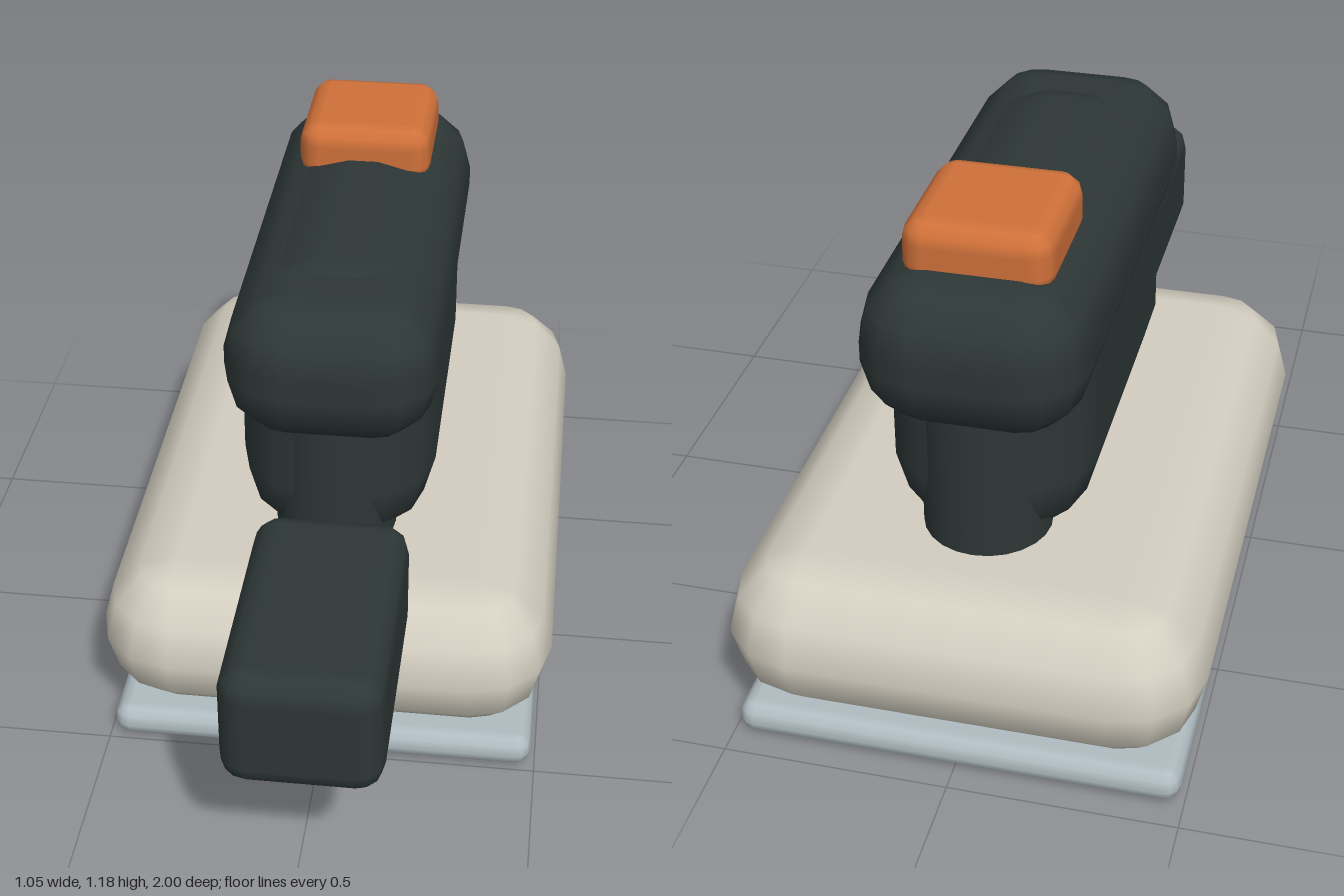
import * as THREE from 'three';

const SEG = 3; // bevel steps per quarter turn

// Box with rounded edges and corners: stacked rings, each with four corner arcs
function bevelBox([x0, x1], [y0, y1], [z0, z1], r) {
  const hx = (x1 - x0) / 2 - r, hy = (y1 - y0) / 2 - r, hz = (z1 - z0) / 2 - r;
  const n = 4 * (SEG + 1), rings = 2 * (SEG + 1);
  const pos = [], nor = [], idx = [];
  for (let i = 0; i < rings; i++) {
    const upper = i > SEG;
    const phi = (upper ? i - SEG - 1 : i - SEG) / SEG * Math.PI / 2;
    for (let c = 0; c < 4; c++) {
      const sx = c === 0 || c === 3 ? 1 : -1, sz = c < 2 ? 1 : -1;
      for (let j = 0; j <= SEG; j++) {
        const t = (c + j / SEG) * Math.PI / 2;
        const nx = Math.cos(phi) * Math.cos(t), ny = Math.sin(phi), nz = Math.cos(phi) * Math.sin(t);
        pos.push(sx * hx + r * nx, (upper ? hy : -hy) + r * ny, sz * hz + r * nz);
        nor.push(nx, ny, nz);
      }
    }
  }
  for (let i = 0; i < rings - 1; i++) {
    for (let k = 0; k < n; k++) {
      const a = i * n + k, b = i * n + (k + 1) % n;
      idx.push(a, a + n, b, b, a + n, b + n);
    }
  }
  // Flat bottom and top
  const q = SEG + 1, top = (rings - 1) * n;
  idx.push(0, q, 2 * q, 0, 2 * q, 3 * q);
  idx.push(top, top + 3 * q, top + 2 * q, top, top + 2 * q, top + q);

  const geo = new THREE.BufferGeometry();
  geo.setAttribute('position', new THREE.Float32BufferAttribute(pos, 3));
  geo.setAttribute('normal', new THREE.Float32BufferAttribute(nor, 3));
  geo.setIndex(idx);
  geo.translate((x0 + x1) / 2, (y0 + y1) / 2, (z0 + z1) / 2);
  return geo;
}

export function createModel() {
  const group = new THREE.Group();
  const material = (name, color) => {
    const m = new THREE.MeshStandardMaterial({ color });
    m.name = name;
    return m;
  };
  const cream = material('cream plastic', 0xd3cec0);
  const dark = material('dark rubber', 0x2d3736);
  const orange = material('orange switch', 0xd0713a);
  const steel = material('grey pad', 0xb0bcc1);

  const add = (name, geo, mat) => {
    const mesh = new THREE.Mesh(geo, mat);
    mesh.name = name;
    group.add(mesh);
    return mesh;
  };

  // Sanding base
  add('sandingPad', bevelBox([-0.49, 0.49], [0, 0.08], [-0.95, 0.5], 0.038), steel);
  add('body', bevelBox([-0.523, 0.523], [0.08, 0.44], [-1, 0.54], 0.18), cream);

  // Motor housing with a round post at each end
  add('housing', bevelBox([-0.225, 0.225], [0.395, 1.108], [-0.73, 0.285], 0.19), dark);
  for (const [name, z] of [['frontPost', 0.16], ['rearPost', -0.62]]) {
    add(name, new THREE.CylinderGeometry(0.14, 0.14, 0.6, 24), dark).position.set(0, 0.65, z);
  }

  // Grip, switch and dust outlet
  add('grip', bevelBox([-0.24, 0.24], [0.755, 1.09], [-0.84, 0.385], 0.145), dark);
  add('switch', bevelBox([-0.158, 0.158], [1.04, 1.185], [-0.7, -0.37], 0.05), orange);
  add('dustOutlet', bevelBox([-0.147, 0.197], [0.348, 0.638], [0.405, 1], 0.06), dark);

  return group;
}
